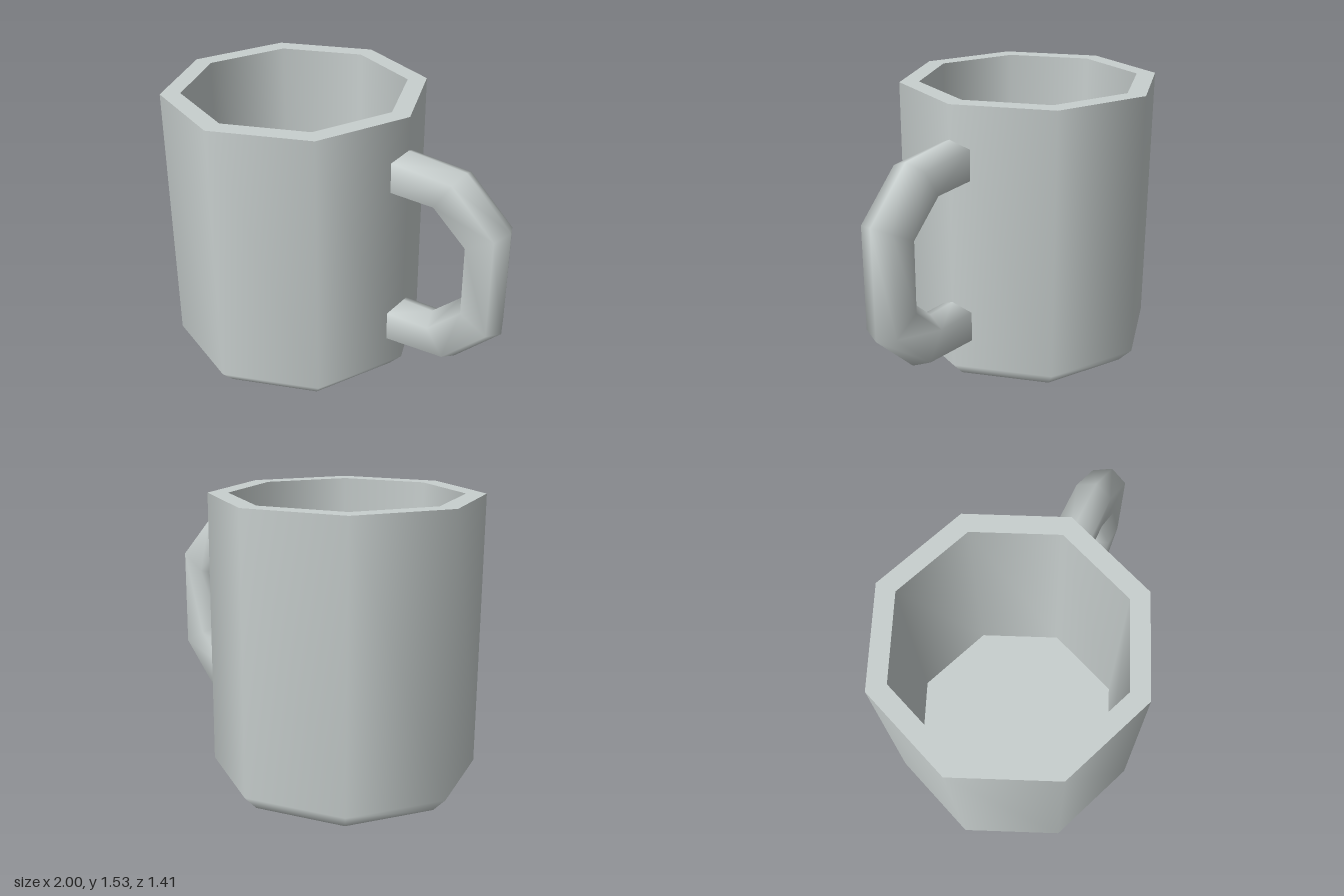
import * as THREE from 'three';

const CENTRE_X = -0.295;
const HEIGHT = 1.53;
const OUTER = 0.705;
const INNER = 0.6;
const FLOOR = 0.1;

// Eight-sided surface of revolution; separate profiles keep edges between them sharp
function lathe(name, profile, material) {
  const points = profile.map(([r, y]) => new THREE.Vector2(r, y));
  const mesh = new THREE.Mesh(new THREE.LatheGeometry(points, 8), material);
  mesh.name = name;
  mesh.position.x = CENTRE_X;
  return mesh;
}

// Six-sided handle lofted between its outer and inner outlines
function handleGeometry() {
  const upperOuter = [[0.41, 1.35], [0.74, 1.32], [1.0, 1.07]];
  const upperInner = [[0.41, 1.09], [0.59, 1.09], [0.76, 0.94]];
  const mirror = (half) => [...half, ...half.map(([x, y]) => [x, 1.55 - y]).reverse()];
  const outer = mirror(upperOuter);
  const inner = mirror(upperInner);
  // Cross-section: fraction from outer to inner outline, then z
  const section = [[0, 0], [0.17, 0.097], [0.8, 0.097], [1, 0], [0.8, -0.097], [0.17, -0.097]];
  const n = section.length;
  const positions = [];
  const indices = [];
  outer.forEach(([ox, oy], i) => {
    const [ix, iy] = inner[i];
    const isEnd = i === 0 || i === outer.length - 1;
    section.forEach(([t, z], k) => {
      // The ends follow the angled faces of the cup
      const trim = isEnd ? Math.abs(z) * 0.414 : 0;
      positions.push(ox + (ix - ox) * t - trim, oy + (iy - oy) * t, z);
      if (i < outer.length - 1) {
        const a = i * n + k;
        const c = i * n + (k + 1) % n;
        indices.push(a, c, a + n, c, c + n, a + n);
      }
    });
  });
  const geometry = new THREE.BufferGeometry();
  geometry.setAttribute('position', new THREE.Float32BufferAttribute(positions, 3));
  geometry.setIndex(indices);
  geometry.computeVertexNormals();
  return geometry;
}

export function createModel() {
  const ceramic = new THREE.MeshStandardMaterial({ color: 0xc8cfce });
  ceramic.name = 'grey ceramic';

  const mug = new THREE.Group();
  mug.name = 'mug';

  // Cup body
  mug.add(
    lathe('base', [[0, 0], [0.63, 0]], ceramic),
    lathe('outerWall', [[0.63, 0], [OUTER, 0.08], [OUTER, HEIGHT]], ceramic),
    lathe('rim', [[OUTER, HEIGHT], [INNER, HEIGHT]], ceramic),
    lathe('innerWall', [[INNER, HEIGHT], [INNER, FLOOR]], ceramic),
    lathe('innerFloor', [[INNER, FLOOR], [0, FLOOR]], ceramic),
  );

  // Handle
  const handle = new THREE.Mesh(handleGeometry(), ceramic);
  handle.name = 'handle';
  mug.add(handle);

  return mug;
}
